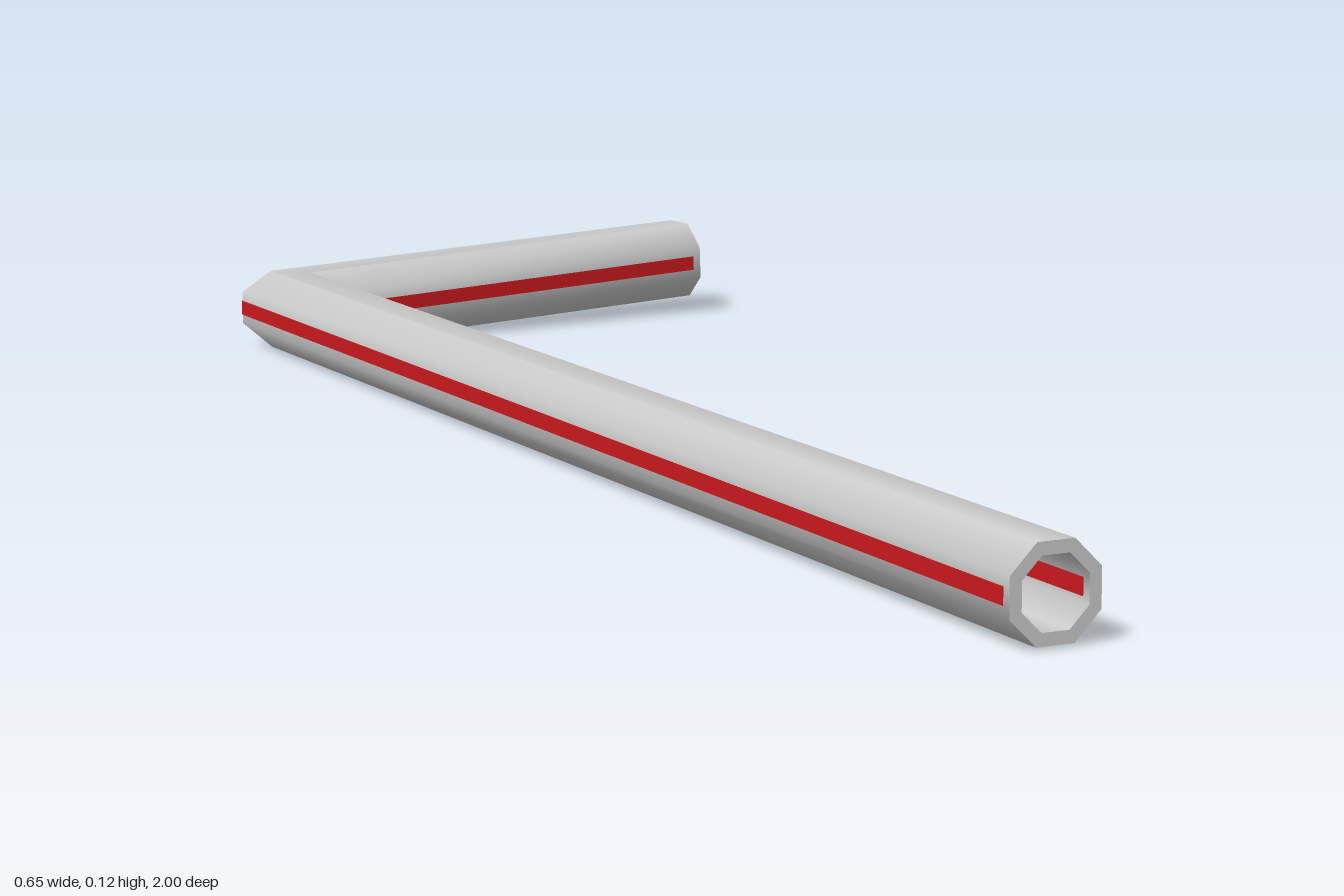
import * as THREE from 'three';
import { toCreasedNormals } from 'three/addons/utils/BufferGeometryUtils.js';

// Centre line: long leg, bend, short leg
const START = new THREE.Vector3(-0.243, 0.052, 1);
const BEND = new THREE.Vector3(-0.275, 0.049, -0.877);
const END = new THREE.Vector3(0.313, 0.067, -0.953);
const OUTER = 0.049, INNER = 0.036; // distance from the axis to the flats

// Three section planes: square cuts at the ends and a mitre at the bend
function stations(inset) {
  const d1 = BEND.clone().sub(START).normalize();
  const d2 = END.clone().sub(BEND).normalize();
  const y = new THREE.Vector3(0, 1, 0);
  const s1 = d1.clone().cross(y).normalize();
  const s2 = d2.clone().cross(y).normalize();
  const mitre = s1.clone().add(s2).normalize();
  mitre.divideScalar(mitre.dot(s1));
  return [
    { o: START.clone().addScaledVector(d1, inset), side: s1, up: s1.clone().cross(d1) },
    { o: BEND, side: mitre, up: y },
    { o: END.clone().addScaledVector(d2, -inset), side: s2, up: s2.clone().cross(d2) },
  ];
}

// Place a 2D loop in every section plane
const place = (loop, planes) => planes.map(({ o, side, up }) =>
  loop.map(([u, v]) => o.clone().addScaledVector(side, u).addScaledVector(up, v)));

function quad(out, a, b, c, d) {
  for (const p of [a, b, c, a, c, d]) out.push(p.x, p.y, p.z);
}

function skin(out, rings, inward = false) {
  for (let s = 0; s < rings.length - 1; s++) {
    const p = rings[s], q = rings[s + 1], n = p.length;
    for (let i = 0; i < n; i++) {
      const j = (i + 1) % n;
      if (inward) quad(out, p[i], p[j], q[j], q[i]);
      else quad(out, p[i], q[i], q[j], p[j]);
    }
  }
}

function makeMesh(name, positions, color, crease) {
  const g = new THREE.BufferGeometry();
  g.setAttribute('position', new THREE.Float32BufferAttribute(positions, 3));
  const mesh = new THREE.Mesh(toCreasedNormals(g, crease), new THREE.MeshStandardMaterial({ color }));
  mesh.name = name;
  return mesh;
}

function octagon(apothem) {
  const r = apothem / Math.cos(Math.PI / 8);
  return Array.from({ length: 8 }, (_, i) => {
    const a = (i + 0.5) * Math.PI / 4;
    return [r * Math.cos(a), r * Math.sin(a)];
  });
}

// Hollow octagonal tube with open ends and ring-shaped rims
function makeTube() {
  const out = [], planes = stations(0);
  const outer = place(octagon(OUTER), planes), inner = place(octagon(INNER), planes);
  skin(out, outer);
  skin(out, inner, true);
  for (let i = 0; i < 8; i++) {
    const j = (i + 1) % 8;
    quad(out, outer[0][i], outer[0][j], inner[0][j], inner[0][i]);
    quad(out, outer[2][i], inner[2][i], inner[2][j], outer[2][j]);
  }
  return makeMesh('bentTube', out, 0xcccccc, 0.9);
}

// Coloured strip set through the side wall, showing inside and outside
function makeStripe(name, sign) {
  const out = [], h = 0.009, a = INNER - 0.0008, b = OUTER + 0.0008;
  const [u0, u1] = sign > 0 ? [a, b] : [-b, -a];
  const rings = place([[u0, -h], [u1, -h], [u1, h], [u0, h]], stations(0.011));
  skin(out, rings);
  quad(out, ...rings[0]);
  quad(out, ...rings[2].slice().reverse());
  return makeMesh(name, out, 0xcc1a1e, 0.5);
}

export function createModel() {
  const group = new THREE.Group();
  group.name = 'bentPipe';
  group.add(makeTube(), makeStripe('innerBendStripe', 1), makeStripe('outerBendStripe', -1));
  return group;
}
